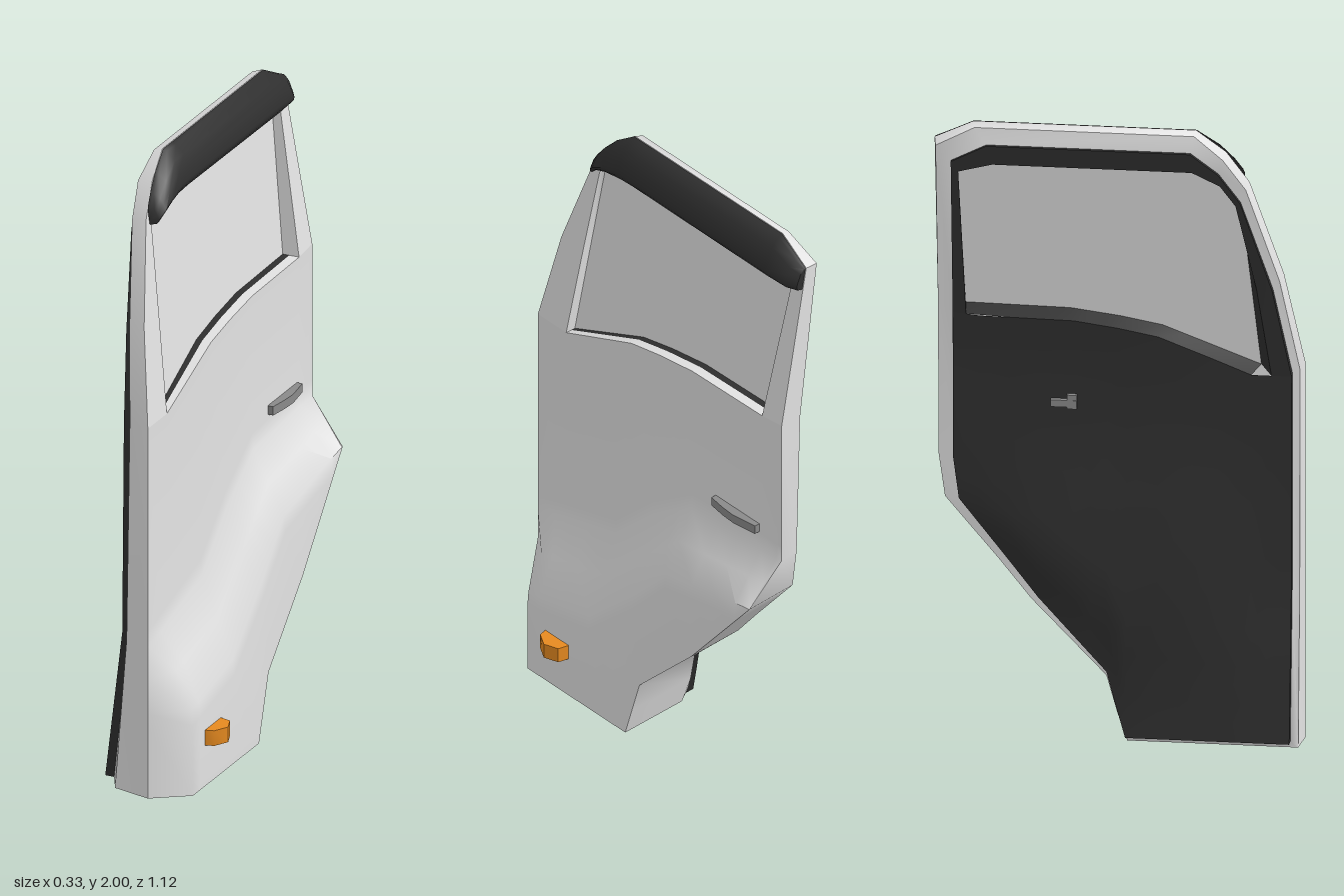
import * as THREE from 'three';
import { toCreasedNormals } from 'three/addons/utils/BufferGeometryUtils.js';

const mat = (name, color, side) => {
  const m = new THREE.MeshStandardMaterial({ color });
  m.name = name;
  if (side) m.side = side;
  return m;
};

// Piecewise linear lookup in [[key, value], ...] with rising keys
function table(pts, k) {
  if (k <= pts[0][0]) return pts[0][1];
  for (let i = 1; i < pts.length; i++) {
    const [a, va] = pts[i - 1], [b, vb] = pts[i];
    if (k <= b) return va + (vb - va) * (k - a) / (b - a);
  }
  return pts[pts.length - 1][1];
}

// Surface through rows of equally many [x, y, z] points
function loft(rows, crease = 0.6) {
  const n = rows[0].length, index = [];
  for (let i = 0; i < rows.length - 1; i++) {
    for (let j = 0; j < n - 1; j++) {
      const a = i * n + j, b = a + n;
      index.push(a, b, a + 1, a + 1, b, b + 1);
    }
  }
  const g = new THREE.BufferGeometry();
  g.setAttribute('position', new THREE.Float32BufferAttribute(rows.flat(2), 3));
  g.setIndex(index);
  return toCreasedNormals(g, crease);
}

// Height curves along z
const bottomY = z => table([[-0.56, 0.9], [-0.54, 0.76], [-0.27, 0.44], [-0.035, 0.21], [0.03, 0]], z);
const ridgeY = z => Math.max(bottomY(z), table([[-0.56, 0.9], [-0.54, 0.76], [-0.15, 0.68], [0, 0.52], [0.2, 0.34], [0.48, 0.28]], z));
const archY = z => table([[-0.56, 0.9], [-0.47, 0.9], [-0.15, 0.88], [0.03, 0.76], [0.2, 0.6], [0.56, 0.5]], z);
const sillY = z => table([[-0.56, 1.4], [-0.47, 1.39], [-0.15, 1.385], [0, 1.365], [0.13, 1.34], [0.43, 1.22], [0.56, 1.22]], z);

// Depth curves
const bulge = z => table([[-0.56, 0], [-0.54, 0.113], [0.48, 0.113], [0.56, 0]], z);
const upperX = (z, y) => -0.11 * Math.max(0, y - sillY(z)) / (2 - sillY(z));
const midX = y => table([[0, -0.115], [0.05, -0.13], [0.55, -0.07], [1.25, -0.065], [1.65, -0.11], [1.93, -0.15], [2, -0.14]], y);
const innerX = y => table([[0.03, -0.16], [0.5, -0.102], [1.25, -0.096], [1.65, -0.13], [1.93, -0.165]], y);
const belly = y => table([[0.03, 0], [0.2, 0.012], [0.5, 0.047], [0.7, 0.033], [1, 0.003], [1.2, 0]], y);
const glassX = y => -0.035 - 0.12 * (y - 1.22);
const inset = ([z, y]) => [z * (z > 0 ? 0.945 : 0.9), 1 + (y - 1) * (y > 1 ? 0.94 : 0.965)];

const columns = [0.56, 0.48, 0.43, 0.32, 0.2, 0.13, 0.03, 0, -0.035, -0.09, -0.15, -0.27, -0.37, -0.47, -0.54, -0.56];
// Upper outline paired with the window edge, front to rear, as [z, y]
const frame = [
  [[0.56, 1.22], [0.43, 1.22]], [[0.5, 1.52], [0.4, 1.52]],
  [[0.4, 1.83], [0.37, 1.81]], [[0.33, 1.93], [0.34, 1.85]],
  [[0.24, 2], [0.25, 1.87]], [[-0.44, 2], [-0.4, 1.87]],
  [[-0.56, 1.94], [-0.51, 1.87]], [[-0.56, 1.4], [-0.47, 1.39]],
];
const windowEdge = frame.map(p => p[1]);
const sill = columns.filter(z => z <= 0.43 && z >= -0.47).reverse().map(z => [z, sillY(z)]);
// Thin lining frame: inset outline paired with a nearby inner edge
const liningFrame = frame.map(pair => {
  const [a, b] = pair.map(inset);
  return [a, [(a[0] + b[0]) / 2, (a[1] + b[1]) / 2]];
});

export function createModel() {
  const door = new THREE.Group();
  door.name = 'door';
  const paint = mat('light grey paint', 0xe2e2e2, THREE.DoubleSide);
  const trim = mat('black trim', 0x2f2f2f, THREE.DoubleSide);
  const metal = mat('grey handle', 0x8a8a8a);
  const amber = mat('amber lamp', 0xe68a20);
  const add = (name, geo, m) => {
    const mesh = new THREE.Mesh(geo, m);
    mesh.name = name;
    door.add(mesh);
    return mesh;
  };

  // Lower skin with the flared wheel arch
  add('outerPanel', loft(columns.map(z => [
    [bulge(z), bottomY(z), z],
    [bulge(z), Math.max(bottomY(z), ridgeY(z) - 0.05), z],
    [bulge(z) * 0.96, ridgeY(z), z],
    [bulge(z) / 2, (ridgeY(z) + archY(z)) / 2, z],
    [bulge(z) * 0.04, archY(z), z],
    [0, archY(z) + 0.05, z], [0, sillY(z), z],
  ]), 1), paint);

  // Window frame
  add('windowFrame', loft(frame.map(pair => pair.map(([z, y]) => [upperX(z, y), y, z]))), paint);

  // Edge of the door: outer outline, back edge, then step in to the lining
  const outline = [
    ...columns.map(z => [z, bottomY(z), bulge(z)]),
    ...frame.map(p => p[0]).reverse().map(([z, y]) => [z, y, upperX(z, y)]),
    [0.56, 0.5, 0], [0.56, 0, 0],
  ];
  add('doorEdge', loft([
    outline.map(([z, y, x]) => [x, y, z]),
    outline.map(([z, y]) => [midX(y), 1 + (y - 1) * 0.99, z * 0.985]),
    outline.map(p => { const [z, y] = inset(p); return [midX(y) - 0.004, y, z]; }),
  ], 0.9), paint);

  // Dark lining on the inside, swelling in the lower middle
  add('liningEdge', loft([midX, innerX].map(f => outline.map(p => {
    const [z, y] = inset(p);
    return [f(y), y, z];
  }))), trim);
  add('liningPanel', loft(columns.map(c => {
    const row = [], low = bottomY(c);
    for (let i = 0; i <= 10; i++) {
      const [z, y] = inset([c, low + (sillY(c) - low) * i / 10]);
      const swell = Math.min(1, Math.max(0, 0.5 - Math.abs(z)) / 0.25, i / 2);
      row.push([innerX(y) - belly(y) * swell, y, z]);
    }
    return row;
  })), trim);
  add('liningFrame', loft(liningFrame.map(pair => pair.map(([z, y]) => [innerX(y), y, z]))), trim);

  // Window glass with its recess on both sides
  const shape = new THREE.Shape([...windowEdge, ...sill.slice(1, -1)].map(([z, y]) => new THREE.Vector2(z, y)));
  const glass = new THREE.ShapeGeometry(shape);
  const pos = glass.attributes.position;
  for (let i = 0; i < pos.count; i++) {
    const z = pos.getX(i), y = pos.getY(i);
    pos.setXYZ(i, glassX(y), y, z);
  }
  // Turn the faces so that they look outwards
  glass.setIndex(Array.from(glass.index.array).reverse());
  glass.computeVertexNormals();
  add('windowGlass', glass, paint);
  // Strip of the recess between two depths: 0 is the skin, 1 the glass
  const recess = (edge, from, to) => loft([from, to].map(t => edge.map(([z, y]) => [
    upperX(z, y) * (1 - t) + glassX(y) * t, y, z,
  ])));
  add('windowRecess', recess(windowEdge, 0, 1), paint);
  add('sillLedge', recess(sill, 0, 0.6), paint);
  add('sillSeal', recess(sill, 0.6, 1), trim);
  const glassLoop = [...windowEdge, ...sill.slice(1)];
  const liningLoop = [...liningFrame.map(p => p[1]), ...sill.slice(1).map(inset)];
  add('innerSeal', loft([
    glassLoop.map(([z, y]) => [glassX(y), y, z]),
    liningLoop.map(([z, y]) => [innerX(y), y, z]),
  ]), trim);

  // Rounded wind deflector over the window: [z, bottom, top, swell]
  const stations = [
    [0.386, 1.812, 1.86, 0], [0.38, 1.815, 1.872, 0.6], [0.355, 1.84, 1.905, 0.9],
    [0.31, 1.857, 1.952, 1], [0.24, 1.867, 2, 1], [0.18, 1.87, 2, 1],
    [-0.44, 1.87, 2, 1], [-0.52, 1.87, 1.96, 0.9],
    [-0.558, 1.87, 1.942, 0.45], [-0.56, 1.87, 1.94, 0],
  ];
  const section = [[0, 0], [0.04, 0.012], [0.24, 0.034], [0.5, 0.044], [0.76, 0.052], [0.88, 0.047], [1, 0.034], [1, 0]];
  add('windDeflector', loft(stations.map(([z, low, top, s]) => section.map(([f, out]) => {
    const y = top + (low - top) * f;
    return [upperX(z, y) + 0.003 + out * s, y, z];
  })), 0.8), trim);

  // Small parts cut from a plan outline of [x, z] points
  const plan = (pts, y, height) => {
    const s = new THREE.Shape(pts.map(([x, z]) => new THREE.Vector2(x, -z)));
    const g = new THREE.ExtrudeGeometry(s, { depth: height, bevelEnabled: false });
    return toCreasedNormals(g.rotateX(-Math.PI / 2).translate(0, y, 0), 0.8);
  };
  add('outerHandle', plan([[-0.005, -0.257], [0.018, -0.257], [0.027, -0.32], [0.03, -0.37], [0.018, -0.457], [-0.005, -0.457]], 0.953, 0.029), metal);
  add('sideLamp', plan([[0.105, 0.4], [0.14, 0.39], [0.165, 0.345], [0.148, 0.298], [0.105, 0.288]], 0.135, 0.05), amber);

  // Inside release lever
  add('innerHandleBase', new THREE.BoxGeometry(0.03, 0.045, 0.03), metal).position.set(-0.098, 1.1, -0.14);
  add('innerHandleLever', new THREE.BoxGeometry(0.02, 0.022, 0.08), metal).position.set(-0.105, 1.095, -0.165);

  return door;
}
